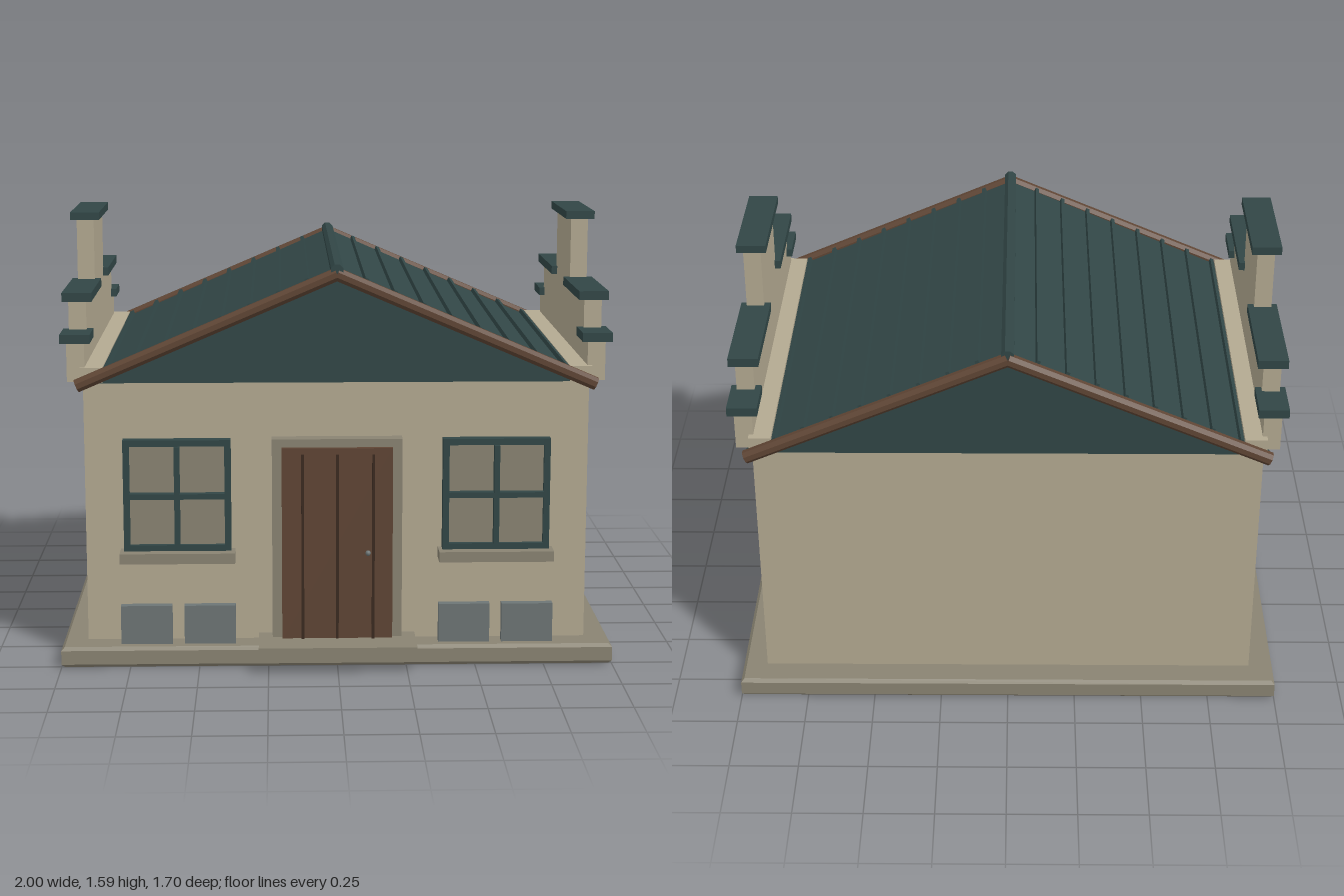
import * as THREE from 'three';

const mat = (name, color) => {
  const m = new THREE.MeshStandardMaterial({ color });
  m.name = name;
  return m;
};

export function createModel() {
  const wall = mat('plaster', 0xb3a991);
  const stone = mat('stone', 0x898372);
  const teal = mat('roofTeal', 0x314646);
  const wood = mat('wood', 0x5f4534);
  const darkWood = mat('darkWood', 0x3a291f);
  const grey = mat('ventGrey', 0x6d7575);

  const model = new THREE.Group();
  model.name = 'house';

  const add = (name, geo, material, parent = model) => {
    const mesh = new THREE.Mesh(geo, material);
    mesh.name = name;
    parent.add(mesh);
    return mesh;
  };
  // Box given by its limits on each axis
  const box = (name, [x0, x1], [y0, y1], [z0, z1], material, parent) => {
    const geo = new THREE.BoxGeometry(x1 - x0, y1 - y0, z1 - z0);
    geo.translate((x0 + x1) / 2, (y0 + y1) / 2, (z0 + z1) / 2);
    return add(name, geo, material, parent);
  };
  // Faceted eight-sided bar between two points
  const bar = (name, a, b, r, material) => {
    const dir = new THREE.Vector3().subVectors(b, a);
    let geo = new THREE.CylinderGeometry(r, r, dir.length(), 8);
    geo.rotateY(Math.PI / 8);
    geo = geo.toNonIndexed();
    geo.computeVertexNormals();
    const mesh = add(name, geo, material);
    mesh.position.copy(a).add(b).multiplyScalar(0.5);
    mesh.quaternion.setFromUnitVectors(new THREE.Vector3(0, 1, 0), dir.normalize());
  };
  const polygon = (pts) => new THREE.Shape(pts.map(([x, y]) => new THREE.Vector2(x, y)));

  // Chamfered foundation slab
  const c = 0.012;
  const slab = new THREE.ExtrudeGeometry(
    polygon([[-1 + c, -0.764 + c], [1 - c, -0.764 + c], [1 - c, 0.85 - c], [-1 + c, 0.85 - c]]),
    { depth: 0.075 - 2 * c, bevelEnabled: true, bevelSize: c, bevelThickness: c, bevelSegments: 1 });
  slab.rotateX(-Math.PI / 2);
  slab.translate(0, c, 0);
  add('foundation', slab, stone);

  box('walls', [-0.91, 0.91], [0.07, 1.028], [-0.747, 0.655], wall);
  box('frontStep', [-0.285, 0.285], [0.04, 0.095], [0.65, 0.853], stone);

  // Gabled roof block with standing seams
  const eave = 0.93, eaveY = 1.028, ridgeY = 1.435;
  const slope = Math.atan2(ridgeY - eaveY, eave);
  const roof = new THREE.ExtrudeGeometry(
    polygon([[-eave, eaveY], [eave, eaveY], [0, ridgeY]]), { depth: 1.427, bevelEnabled: false });
  roof.translate(0, 0, -0.767);
  add('roof', roof, teal);
  for (const s of [-1, 1]) {
    for (let i = 1; i <= 8; i++) {
      const x = i * 0.103;
      const seam = add('roofSeam', new THREE.BoxGeometry(0.014, 0.03, 1.43), teal);
      seam.position.set(s * x, ridgeY - x * Math.tan(slope), -0.051);
      seam.rotation.z = -s * slope;
    }
  }
  bar('ridgeCap', new THREE.Vector3(0, 1.436, -0.797), new THREE.Vector3(0, 1.436, 0.706), 0.024, teal);

  // Rake beams along both gables
  for (const z of [0.69, -0.791]) {
    for (const s of [-1, 1]) {
      bar('rakeBeam', new THREE.Vector3(s * 0.93, 1.024, z), new THREE.Vector3(0, 1.422, z), 0.0245, wood);
    }
  }

  // Stepped parapets with caps
  const mid = -0.046;
  const steps = [[0.691, 1.03], [0.691, 1.172], [0.578, 1.172], [0.578, 1.308], [0.194, 1.308], [0.194, 1.565]];
  const outline = [...steps, ...steps.map(([z, y]) => [-z, y]).reverse()];
  for (const s of [-1, 1]) {
    const parapet = new THREE.Group();
    parapet.name = s > 0 ? 'leftParapet' : 'rightParapet';
    model.add(parapet);
    const geo = new THREE.ExtrudeGeometry(polygon(outline), { depth: 0.064, bevelEnabled: false });
    geo.rotateY(-Math.PI / 2);
    geo.translate(s * 0.936 + 0.032, 0, mid);
    add('parapetWall', geo, wall, parapet);
    const capX = [s * 0.936 - 0.054, s * 0.936 + 0.054];
    box('topCap', capX, [1.565, 1.594], [mid - 0.215, mid + 0.215], teal, parapet);
    for (const e of [-1, 1]) {
      for (const [a, b, y] of [[0.17, 0.6, 1.308], [0.548, 0.713, 1.172]]) {
        const z = [mid + e * a, mid + e * b].sort((p, q) => p - q);
        box('stepCap', capX, [y, y + 0.032], z, teal, parapet);
      }
    }
    // Upstand where the roof meets the parapet
    const ux = [s * 0.84, s * 0.92].sort((p, q) => p - q);
    box('parapetUpstand', ux, [1.03, 1.084], [-0.765, 0.664], wall, parapet);
  }

  // Door with surround, plank grooves and knob
  const door = new THREE.Group();
  door.name = 'door';
  model.add(door);
  for (const s of [-1, 1]) {
    const x = [s * 0.2, s * 0.235].sort((p, q) => p - q);
    box('doorJamb', x, [0.075, 0.83], [0.65, 0.711], stone, door);
  }
  box('doorLintel', [-0.2, 0.2], [0.8, 0.83], [0.65, 0.711], stone, door);
  box('doorPanel', [-0.2, 0.2], [0.085, 0.8], [0.65, 0.73], wood, door);
  for (const x of [-0.125, 0, 0.13]) {
    box('plankGroove', [x - 0.005, x + 0.005], [0.095, 0.778], [0.729, 0.738], darkWood, door);
  }
  add('doorKnob', new THREE.SphereGeometry(0.01, 12, 8), grey, door).position.set(0.11, 0.42, 0.757);

  // Windows with sills, and vents below
  for (const s of [-1, 1]) {
    const win = new THREE.Group();
    win.name = s > 0 ? 'leftWindow' : 'rightWindow';
    win.position.x = s * 0.577;
    model.add(win);
    const w = 0.194, t = 0.023, y0 = 0.415, y1 = 0.825, z = [0.65, 0.695];
    box('frameSide', [-w, -w + t], [y0, y1], z, teal, win);
    box('frameSide', [w - t, w], [y0, y1], z, teal, win);
    box('frameTop', [-w + t, w - t], [y1 - t, y1], z, teal, win);
    box('frameBottom', [-w + t, w - t], [y0, y0 + t], z, teal, win);
    box('glass', [-w + t, w - t], [y0 + t, y1 - t], [0.67, 0.678], stone, win);
    box('mullion', [-0.01, 0.01], [y0 + t, y1 - t], [0.675, 0.711], teal, win);
    box('crossbar', [-w + t, w - t], [0.61, 0.63], [0.675, 0.709], teal, win);
    box('sill', [-0.208, 0.208], [0.378, 0.416], [0.65, 0.737], stone, win);
    for (const x of [-0.115, 0.115]) {
      box('vent', [x - 0.093, x + 0.093], [0.07, 0.218], [0.69, 0.722], grey, win);
    }
  }
  return model;
}
